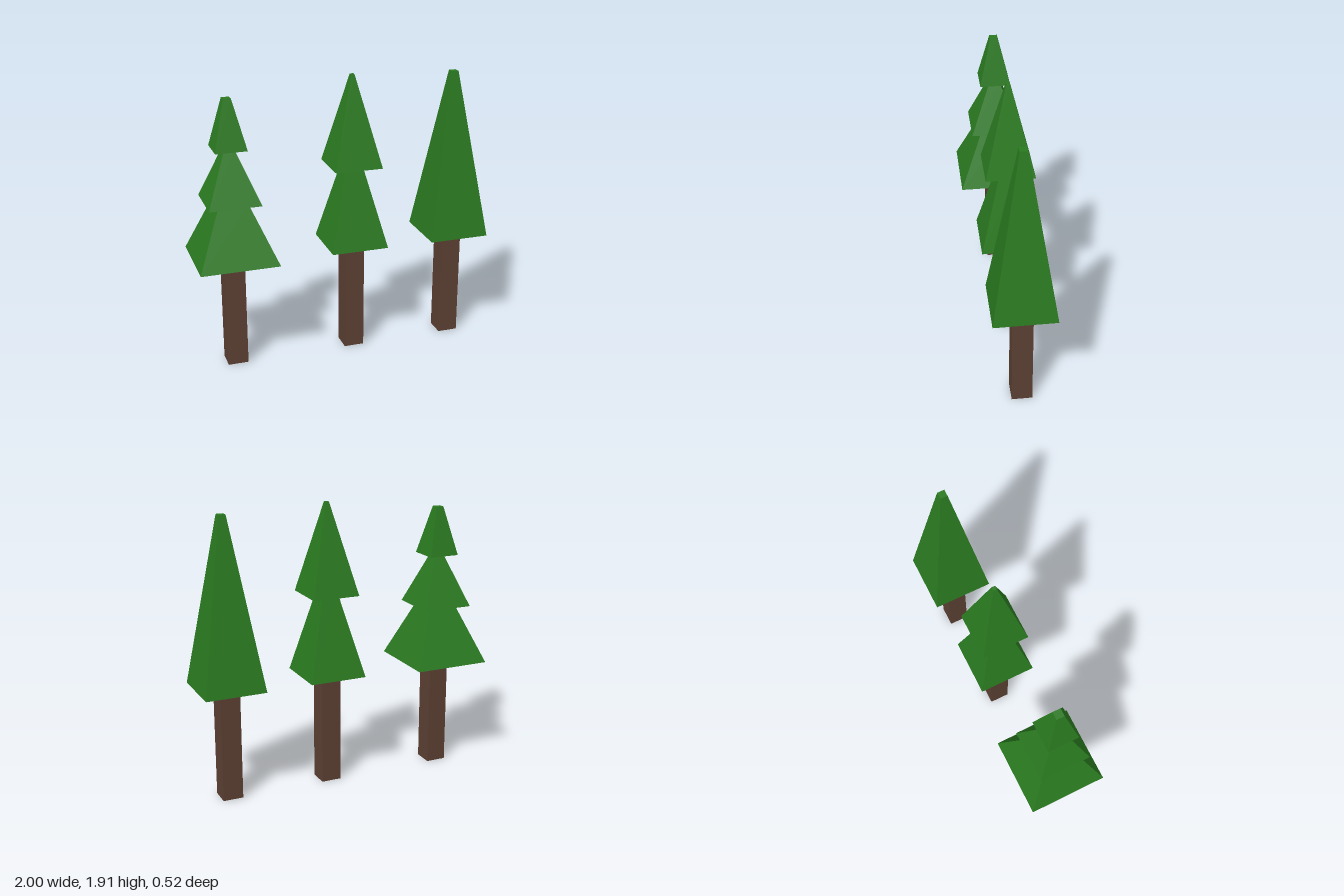
import * as THREE from 'three';

const bark = new THREE.MeshStandardMaterial({ color: 0x5c4033, flatShading: true });
const leaves = new THREE.MeshStandardMaterial({ color: 0x2a7a20, flatShading: true });

const TRUNK_HEIGHT = 0.76;
const TRUNK_WIDTH = 0.136;

// Each tier: [bottom y, top y, bottom half width, top half width]
const TREES = [
  { name: 'threeTierTree', x: -0.74, tiers: [
    [0.76, 1.15, 0.26, 0.096],
    [1.15, 1.5, 0.172, 0.032],
    [1.5, 1.825, 0.104, 0.026],
  ] },
  { name: 'twoTierTree', x: 0.085, tiers: [
    [0.76, 1.31, 0.193, 0.056],
    [1.31, 1.915, 0.16, 0.012],
  ] },
  { name: 'singleTierTree', x: 0.795, tiers: [
    [0.76, 1.885, 0.203, 0.024],
  ] },
];

// Square pyramid with a cut-off tip
function makeTier([y0, y1, bottom, top], index) {
  const geometry = new THREE.CylinderGeometry(top * Math.SQRT2, bottom * Math.SQRT2, y1 - y0, 4);
  geometry.rotateY(Math.PI / 4);
  const mesh = new THREE.Mesh(geometry, leaves);
  mesh.name = `foliageTier${index + 1}`;
  mesh.position.y = (y0 + y1) / 2;
  return mesh;
}

// Square trunk with stacked foliage
function makeTree({ name, x, tiers }) {
  const tree = new THREE.Group();
  tree.name = name;
  tree.position.x = x;
  const trunk = new THREE.Mesh(new THREE.BoxGeometry(TRUNK_WIDTH, TRUNK_HEIGHT, TRUNK_WIDTH), bark);
  trunk.name = 'trunk';
  trunk.position.y = TRUNK_HEIGHT / 2;
  tree.add(trunk, ...tiers.map(makeTier));
  return tree;
}

export function createModel() {
  const group = new THREE.Group();
  group.name = 'pineTrees';
  group.add(...TREES.map(makeTree));
  return group;
}
